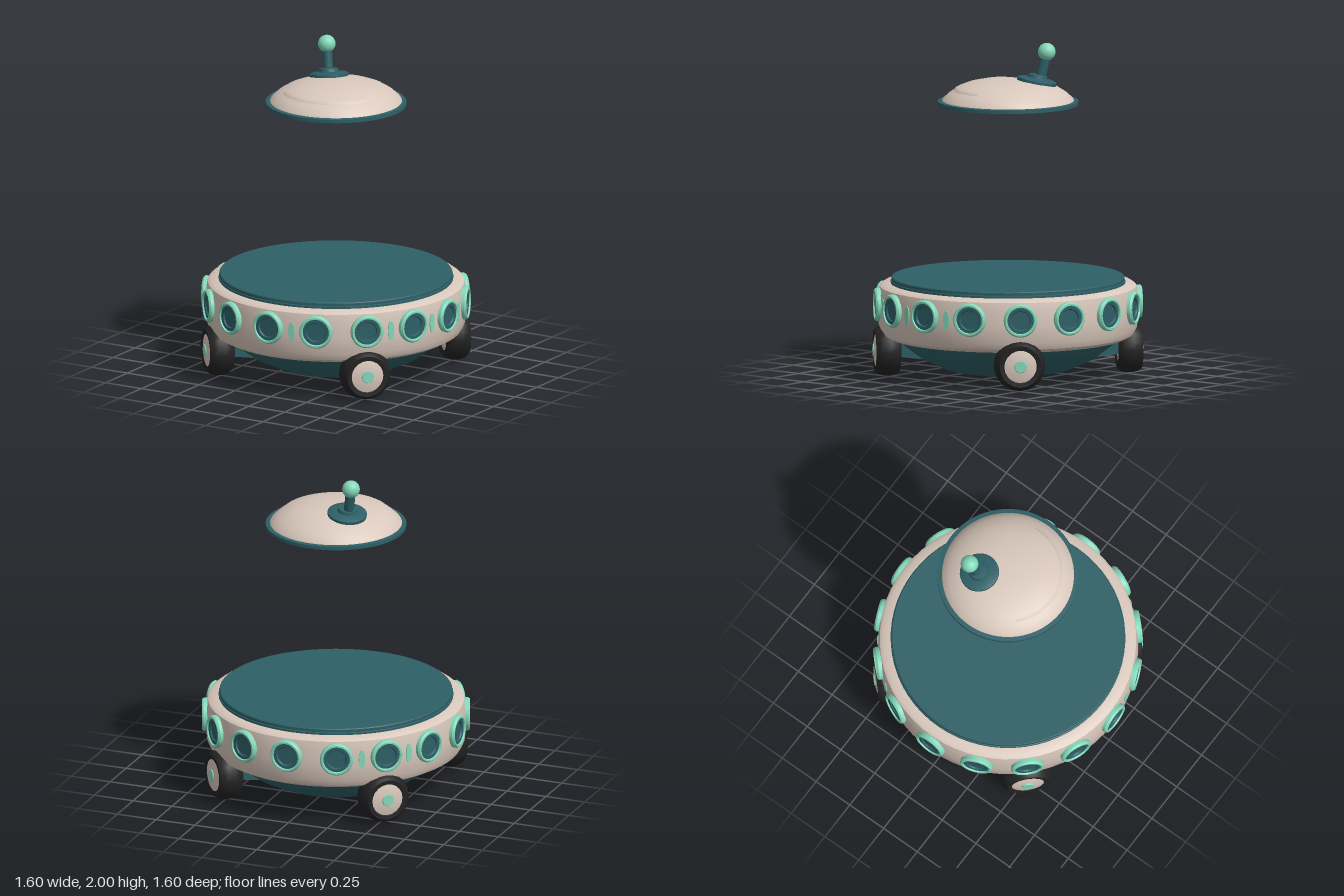
import * as THREE from 'three';
import { toCreasedNormals } from 'three/addons/utils/BufferGeometryUtils.js';

const mat = (name, color) => {
  const m = new THREE.MeshStandardMaterial({ color });
  m.name = name;
  return m;
};

export function createModel() {
  const teal = mat('dark teal', 0x2d5f66);
  const cream = mat('cream', 0xd9c8bc);
  const mint = mat('mint', 0x84d8ba);
  const rubber = mat('black rubber', 0x222222);
  const model = new THREE.Group();
  model.name = 'hoverCart';

  const add = (parent, name, geo, material) => {
    const m = new THREE.Mesh(geo, material);
    m.name = name;
    parent.add(m);
    return m;
  };
  // Profiles run from bottom to top as [radius, y]
  const lathe = (pts, segs = 64, start = 0, sweep = Math.PI * 2) => toCreasedNormals(
    new THREE.LatheGeometry(pts.map(p => new THREE.Vector2(...p)), segs, start, sweep), 0.6);
  // Group on the rim whose local z points outward
  const radial = (name, deg, dist, y) => {
    const g = new THREE.Group();
    const a = THREE.MathUtils.degToRad(deg);
    g.name = name;
    g.position.set(Math.sin(a) * dist, y, Math.cos(a) * dist);
    g.rotation.y = a;
    model.add(g);
    return g;
  };

  // Hull: belly, cream ring and deck
  add(model, 'belly', lathe([[0, 0.005], [0.2, 0.018], [0.38, 0.05], [0.52, 0.115], [0.62, 0.19], [0.67, 0.26]]), teal);
  add(model, 'bodyRing', lathe([[0.62, 0.25], [0.66, 0.236], [0.71, 0.238], [0.75, 0.26], [0.77, 0.3],
    [0.776, 0.4], [0.774, 0.5], [0.765, 0.545], [0.745, 0.56], [0.68, 0.565]]), cream);
  add(model, 'deck', lathe([[0.7, 0.55], [0.7, 0.575], [0.695, 0.578], [0.695, 0.595], [0.69, 0.6], [0, 0.6]]), teal);

  // Sixteen portholes around the ring
  const rim = lathe([[0.098, -0.03], [0.1, 0.008], [0.092, 0.019], [0.082, 0.019], [0.076, 0.004]], 24).rotateX(Math.PI / 2);
  const pane = lathe([[0.079, 0.01], [0.06, 0.009], [0.055, 0.0], [0, 0.0]], 24).rotateX(Math.PI / 2);
  for (let i = 0; i < 16; i++) {
    const g = radial('porthole', i * 22.5, 0.781, 0.44);
    add(g, 'portholeRim', rim, mint);
    add(g, 'portholePane', pane, teal);
  }

  // Small lamps between some portholes
  const lamp = new THREE.CylinderGeometry(0.02, 0.02, 0.008, 12).rotateX(Math.PI / 2).scale(1, 3, 1);
  for (const deg of [11.25, 56.25, 78.75, 101.25, 213.75, 236.25]) {
    add(radial('sideLamp', deg, 0.776, 0.43), 'lampPlate', lamp, mint);
  }

  // Four wheels on the diagonals
  const tyre = lathe([[0.09, -0.06], [0.1, -0.072], [0.125, -0.075], [0.145, -0.052], [0.153, -0.02],
    [0.153, 0.02], [0.145, 0.052], [0.125, 0.075], [0.1, 0.072], [0.09, 0.06]], 20).rotateX(Math.PI / 2);
  const hub = lathe([[0, -0.066], [0.097, -0.064], [0.1, 0.068], [0.06, 0.078], [0, 0.08]], 20).rotateX(Math.PI / 2);
  const cap = new THREE.CylinderGeometry(0.036, 0.04, 0.008, 8).rotateX(Math.PI / 2);
  const strut = new THREE.CylinderGeometry(0.05, 0.085, 0.24, 4, 1).rotateY(Math.PI / 4).toNonIndexed().rotateX(Math.PI / 2);
  strut.computeVertexNormals();
  for (const deg of [45, 135, 225, 315]) {
    const g = radial('wheel', deg, 0.725, 0.165);
    add(g, 'tyre', tyre, rubber);
    add(g, 'hub', hub, cream);
    add(g, 'hubCap', cap, mint).position.z = 0.081;
    add(g, 'axleStrut', strut, teal).position.z = -0.165;
  }

  // Floating lid with a raised roof panel
  add(model, 'lidPlate', lathe([[0, 1.635], [0.42, 1.635], [0.42, 1.656], [0.38, 1.66]]), teal);
  const roof = [[0.395, 1.657], [0.388, 1.67], [0.35, 1.704], [0.3, 1.735], [0.24, 1.758], [0.16, 1.775], [0.08, 1.783], [0, 1.785]];
  add(model, 'lidRoof', lathe(roof), cream);
  const panel = [[0.325, 1.718], [0.318, 1.73], ...roof.slice(3).map(([r, y]) => [r, y + 0.005])];
  add(model, 'roofPanel', lathe(panel, 32, -Math.PI / 4, Math.PI * 0.78), cream);

  // Leaning antenna
  const antenna = new THREE.Group();
  antenna.name = 'antenna';
  antenna.position.set(-0.122, 1.772, -0.122);
  antenna.rotation.set(-0.13, 0, 0.13);
  model.add(antenna);
  add(antenna, 'antennaBase', lathe([[0.118, -0.02], [0.118, 0.008], [0.1, 0.016], [0.06, 0.02],
    [0.055, 0.038], [0.035, 0.042], [0, 0.042]], 28), teal);
  const foot = new THREE.Vector3(-0.138, 1.79, -0.138);
  const tip = new THREE.Vector3(-0.164, 1.948, -0.164);
  const stalk = new THREE.TubeGeometry(new THREE.LineCurve3(foot, tip), 1, 0.03, 16);
  add(model, 'antennaStalk', stalk, teal);
  add(model, 'antennaBall', new THREE.SphereGeometry(0.053, 24, 16), mint).position.copy(tip);

  return model;
}
